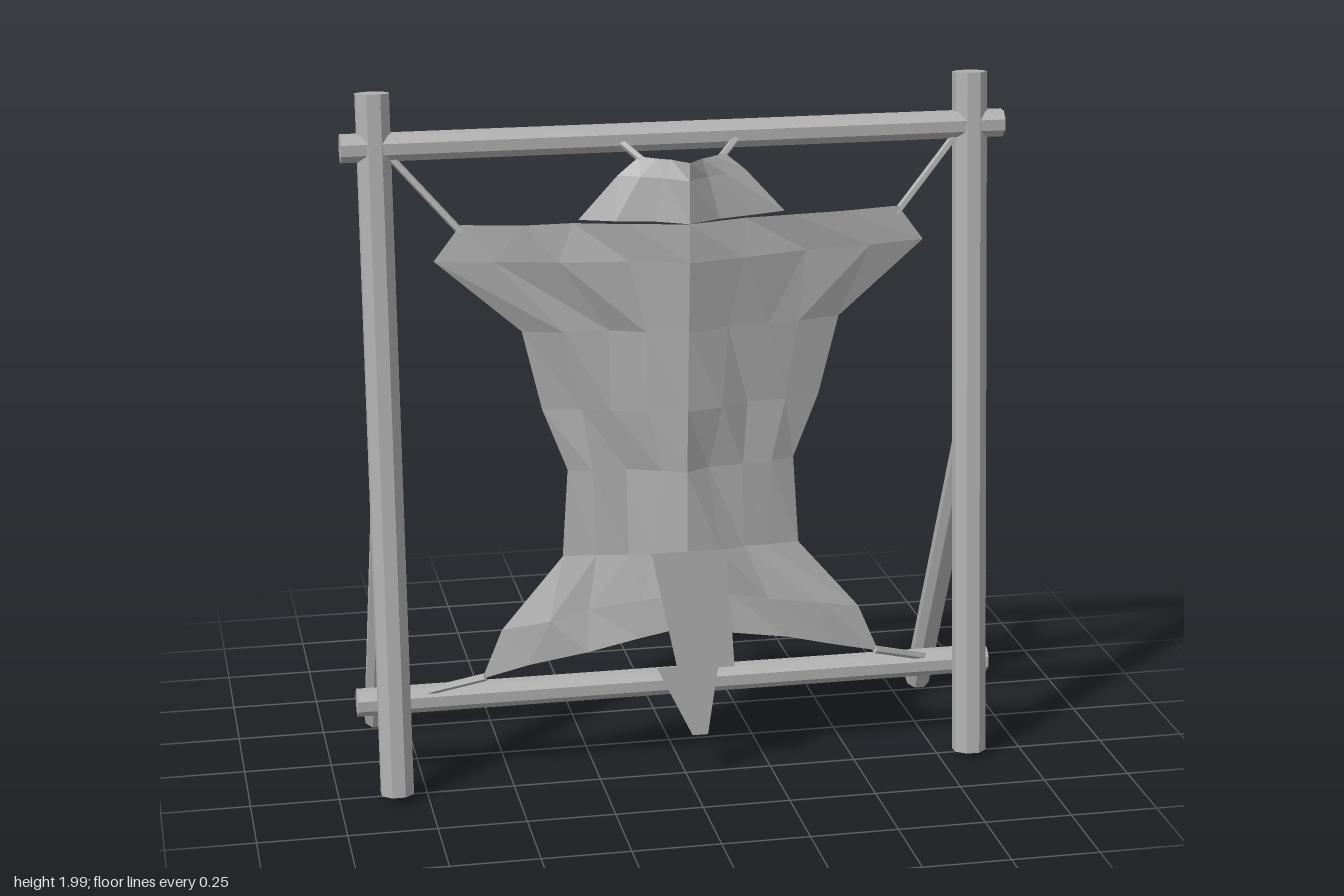
import * as THREE from 'three';

const material = new THREE.MeshStandardMaterial({ color: 0xb0b0b0, flatShading: true, side: THREE.DoubleSide });
material.name = 'plain grey';

const V = (x, y, z) => new THREE.Vector3(x, y, z);

// Straight pole between two points
function pole(name, a, b, radius, sides = 8) {
  const dir = b.clone().sub(a);
  const geo = new THREE.CylinderGeometry(radius, radius, dir.length(), sides);
  geo.rotateY(Math.PI / sides);
  const mesh = new THREE.Mesh(geo, material);
  mesh.name = name;
  mesh.position.copy(a).add(b).multiplyScalar(0.5);
  mesh.quaternion.setFromUnitVectors(V(0, 1, 0), dir.normalize());
  return mesh;
}

// Sheet of skin from rows: { half, yMid, yEdge, zMid, zEdge }
function sheet(name, rows, columns, wobble) {
  const bow = [[0, 1], [0.15, 0.8], [0.4, 0.45], [0.75, 0.27], [1, 0]];
  const sag = (u) => {
    let i = 0;
    while (i < bow.length - 2 && u > bow[i + 1][0]) i++;
    const [u0, s0] = bow[i], [u1, s1] = bow[i + 1];
    return s0 + (s1 - s0) * (u - u0) / (u1 - u0);
  };
  const pos = [], index = [];
  rows.forEach(([half, yMid, yEdge, zMid, zEdge], r) => {
    for (let c = 0; c <= columns; c++) {
      const u = (c / columns) * 2 - 1, a = Math.abs(u);
      const inside = c > 0 && c < columns && a > 0.01 ? wobble : 0;
      pos.push(
        u * half + inside * Math.sin(r * 2.3 + c * 1.7),
        yMid + (yEdge - yMid) * a,
        zEdge + (zMid - zEdge) * sag(a) + inside * 0.7 * Math.sin(r * 3.1 + c * 2.2)
      );
      if (r && c) {
        const d = r * (columns + 1) + c, b = d - columns - 1;
        index.push(b - 1, d - 1, d, b - 1, d, b);
      }
    }
  });
  const geo = new THREE.BufferGeometry();
  geo.setAttribute('position', new THREE.Float32BufferAttribute(pos, 3));
  geo.setIndex(index);
  geo.computeVertexNormals();
  const mesh = new THREE.Mesh(geo, material);
  mesh.name = name;
  return mesh;
}

// Flat outline at a given depth
function plate(name, points, z) {
  const geo = new THREE.ShapeGeometry(new THREE.Shape(points.map(([x, y]) => new THREE.Vector2(x, y))));
  const mesh = new THREE.Mesh(geo, material);
  mesh.name = name;
  mesh.position.z = z;
  return mesh;
}

export function createModel() {
  const model = new THREE.Group();
  model.name = 'hideStretchingRack';

  // Frame: leaning posts, rear props and crossbars
  for (const [side, s] of [['left', 1], ['right', -1]]) {
    const x = 0.838 * s;
    model.add(pole(side + 'Post', V(x, 0.024, 0.28), V(x, 1.995, 0.095), 0.049));
    model.add(pole(side + 'Prop', V(x, 0.02, -0.29), V(x, 0.97, 0.175), 0.037));

    // Lashings at the corners and head
    model.add(pole(side + 'ShoulderRope', V(0.61 * s, 1.615, 0.18), V(0.81 * s, 1.84, 0.12), 0.011, 5));
    model.add(pole(side + 'HeadRope', V(0.105 * s, 1.795, 0.19), V(0.165 * s, 1.845, 0.14), 0.011, 5));
    model.add(pole(side + 'FootRope', V(0.57 * s, 0.325, 0.2), V(0.75 * s, 0.26, 0.125), 0.012, 5));
  }
  model.add(pole('topBar', V(-0.93, 1.85, 0.115), V(0.93, 1.85, 0.115), 0.04));
  model.add(pole('bottomBar', V(-0.93, 0.24, 0.115), V(0.93, 0.24, 0.115), 0.04));

  // Stretched hide, shoulders down to the hind legs
  model.add(sheet('hide', [
    [0.615, 1.64, 1.64, 0.295, 0.185],
    [0.69, 1.53, 1.54, 0.295, 0.18],
    [0.45, 1.33, 1.33, 0.285, 0.18],
    [0.395, 1.1, 1.1, 0.275, 0.175],
    [0.325, 0.92, 0.92, 0.265, 0.175],
    [0.342, 0.68, 0.665, 0.27, 0.18],
    [0.52, 0.57, 0.46, 0.285, 0.19],
    [0.58, 0.47, 0.32, 0.29, 0.2],
  ], 8, 0.014));

  // Folded head skin
  model.add(sheet('head', [
    [0.12, 1.81, 1.81, 0.295, 0.185],
    [0.18, 1.76, 1.76, 0.295, 0.185],
    [0.29, 1.64, 1.64, 0.295, 0.185],
  ], 6, 0.004));

  // Tail in two flat pieces
  model.add(plate('tailBase', [[-0.11, 0.7], [-0.035, 0.345], [0.13, 0.345], [0.105, 0.7]], 0.305));
  model.add(plate('tailTip', [[-0.09, 0.345], [0.015, 0.13], [0.06, 0.13], [0.09, 0.345]], 0.275));

  return model;
}
